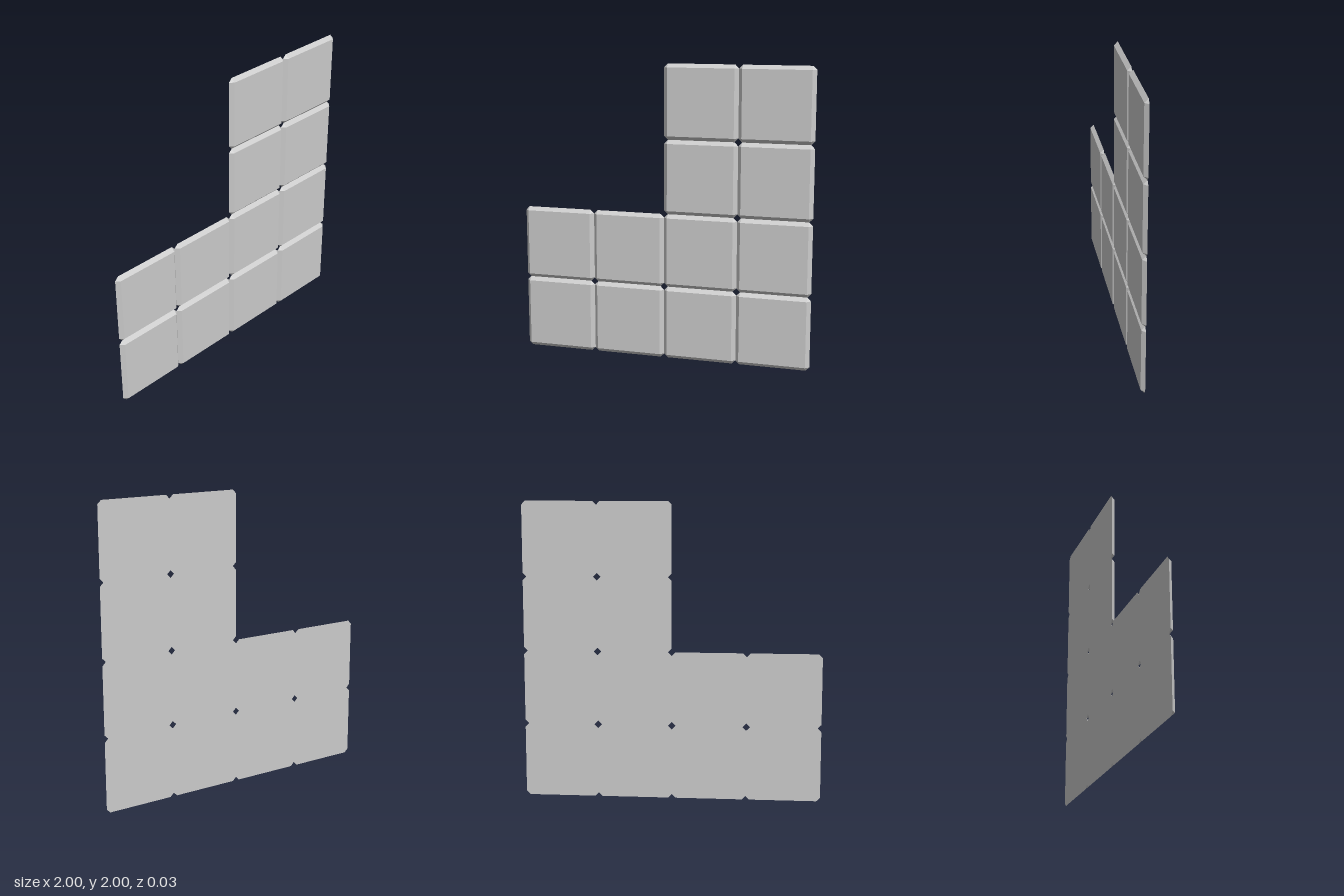
import * as THREE from 'three';

const TILE = 0.5, BEVEL = 0.025, DEPTH = 0.025;

// One tile: square front face, clipped-corner back face, 45 degree bevels between
function tileGeometry() {
  const h = TILE / 2, f = h - BEVEL, z = DEPTH / 2;
  const front = [], back = [];
  // corners run counter-clockwise as seen from the front
  for (const [sx, sy] of [[1, 1], [-1, 1], [-1, -1], [1, -1]]) {
    front.push([sx * f, sy * f, z]);
    const onSide = [sx * h, sy * f, -z], onCap = [sx * f, sy * h, -z];
    back.push(...(sx * sy > 0 ? [onSide, onCap] : [onCap, onSide]));
  }
  const pos = [];
  const tri = (a, b, c) => pos.push(...a, ...b, ...c);
  for (let k = 0; k < 4; k++) {
    const n = (k + 1) % 4;
    // clipped corner
    tri(front[k], back[2 * k], back[2 * k + 1]);
    // bevelled edge
    tri(front[k], back[2 * k + 1], back[2 * n]);
    tri(front[k], back[2 * n], front[n]);
  }
  // front and back faces
  tri(front[0], front[1], front[2]);
  tri(front[0], front[2], front[3]);
  for (let i = 1; i < 7; i++) tri(back[0], back[i + 1], back[i]);

  const g = new THREE.BufferGeometry();
  g.setAttribute('position', new THREE.Float32BufferAttribute(pos, 3));
  g.computeVertexNormals();
  return g;
}

export function createModel() {
  const group = new THREE.Group();
  group.name = 'tiledPanel';
  const material = new THREE.MeshStandardMaterial({ color: 0xcccccc, flatShading: true });
  const geometry = tileGeometry();

  // L-shaped layout: two full rows below, two half rows above on the left (+x)
  for (let row = 0; row < 4; row++) {
    for (let col = row < 2 ? 0 : 2; col < 4; col++) {
      const tile = new THREE.Mesh(geometry, material);
      tile.name = `tileRow${row + 1}Column${col + 1}`;
      tile.position.set(-1 + (col + 0.5) * TILE, (row + 0.5) * TILE, 0);
      group.add(tile);
    }
  }
  return group;
}
